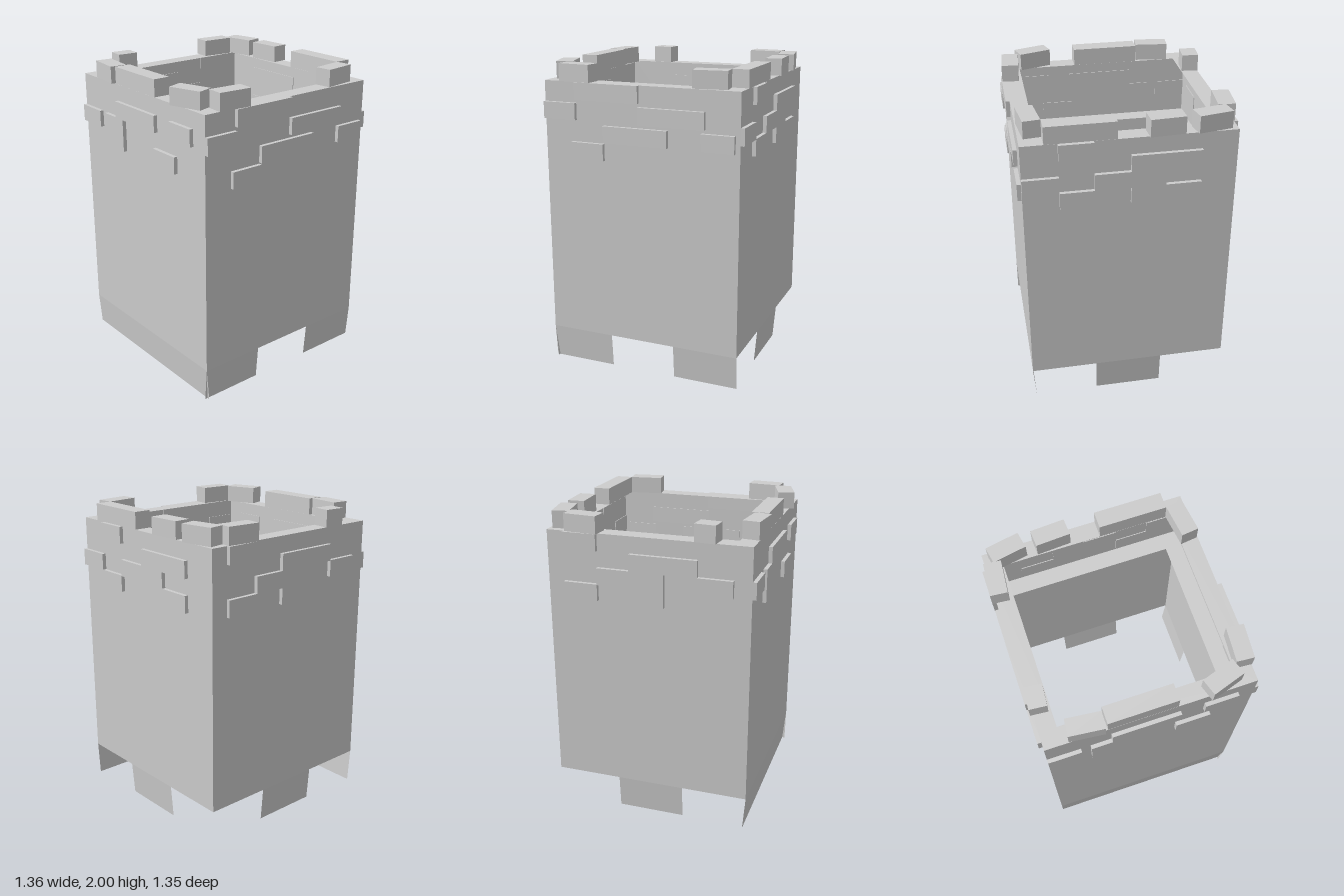
import * as THREE from 'three';

const R = 0.65;        // half width of the tower
const TOP = 1.89;      // wall top
const FOOT = 0.22;     // wall bottom, above the ragged foot
const RIM = 0.54;      // inner half width of the rims
const BRICK_H = 0.108;

export function createModel() {
  const stone = new THREE.MeshStandardMaterial({ color: 0xcccccc, side: THREE.DoubleSide });
  stone.name = 'grey stone';
  const tower = new THREE.Group();
  tower.name = 'tower';

  const add = (parent, name, geometry, x = 0, y = 0, z = 0) => {
    const mesh = new THREE.Mesh(geometry, stone);
    mesh.name = name;
    mesh.position.set(x, y, z);
    parent.add(mesh);
    return mesh;
  };

  // Each side is laid out facing +z, then turned about y.
  // bricks: [start, end, top]; foot: [start, end] of the tabs below the wall
  const sides = [
    { name: 'front', turn: 0, foot: [[-R, -0.22], [0.22, R]],
      bricks: [[-0.43, 0, 1.89], [-0.65, -0.43, 1.76], [0, 0.43, 1.76],
        [-0.24, 0.19, 1.63], [0.41, 0.62, 1.63], [-0.46, -0.24, 1.515]] },
    { name: 'left', turn: Math.PI / 2, foot: [[-0.22, 0.22]],
      bricks: [[-0.43, -0.22, 1.89], [0, 0.43, 1.785], [-0.65, -0.43, 1.68],
        [-0.22, 0.21, 1.68], [-0.43, -0.22, 1.575], [0, 0.43, 1.575]] },
    { name: 'back', turn: Math.PI, foot: [[-0.22, 0.22]],
      bricks: [[-0.54, -0.32, 1.89], [-0.11, 0.32, 1.785], [-0.32, 0.11, 1.68],
        [0.32, 0.54, 1.68], [-0.54, -0.32, 1.575], [-0.11, 0.11, 1.575]] },
    { name: 'right', turn: -Math.PI / 2, foot: [[-R, R]],
      bricks: [[-0.25, 0.18, 1.785], [0.33, 0.54, 1.785], [-0.65, -0.44, 1.68],
        [-0.38, -0.17, 1.68], [-0.38, -0.17, 1.575], [0.16, 0.38, 1.575]] },
  ];

  for (const { name, turn, bricks, foot } of sides) {
    const side = new THREE.Group();
    side.name = name + 'Side';
    side.rotation.y = turn;
    tower.add(side);

    add(side, 'wall', new THREE.PlaneGeometry(2 * R, TOP - FOOT), 0, (TOP + FOOT) / 2, R);

    // Raised bricks
    for (const [a, b, top] of bricks) {
      add(side, 'raisedBrick', new THREE.BoxGeometry(b - a, BRICK_H, 0.03),
        (a + b) / 2, top - BRICK_H / 2, 0.66);
    }

    // Foot tabs, leaning slightly inward at the bottom
    for (const [a, b] of foot) {
      const g = new THREE.PlaneGeometry(b - a, FOOT);
      const p = g.attributes.position;
      for (let i = 0; i < p.count; i++) if (p.getY(i) < 0) p.setZ(i, -0.018);
      g.computeVertexNormals();
      add(side, 'footTab', g, (a + b) / 2, FOOT / 2, R);
    }
  }

  // Flat rims: wall top and the ledge inside
  const square = (h) => [[-h, -h], [h, -h], [h, h], [-h, h]].map(([x, y]) => new THREE.Vector2(x, y));
  const ring = new THREE.Shape(square(R));
  ring.holes.push(new THREE.Path(square(RIM).reverse()));
  const rimGeometry = new THREE.ShapeGeometry(ring).rotateX(-Math.PI / 2);
  add(tower, 'topRim', rimGeometry, 0, TOP, 0);
  add(tower, 'innerLedge', rimGeometry, 0, 1.45, 0);

  // Loose blocks on the rim: [x, z, length, direction x, direction z]
  const blocks = [
    [-0.365, -0.604, 0.135, 1, 0.09],
    [0.418, -0.612, 0.216, 1, 0.09],
    [0.594, -0.498, 0.216, 0.19, 1],
    [0.605, -0.215, 0.216, 0.06, 1],
    [0.595, 0.295, 0.43, 0, 1],
    [0.442, 0.577, 0.216, 1, -0.12],
    [-0.433, 0.609, 0.216, 1, 0.08],
    [-0.596, 0.443, 0.216, 0.32, 1],
    [-0.595, -0.055, 0.43, 0, 1],
    [-0.605, -0.39, 0.216, -0.11, 1],
  ];
  for (const [x, z, length, dx, dz] of blocks) {
    const block = add(tower, 'rimBlock', new THREE.BoxGeometry(length, 2 - TOP, 0.108),
      x, (2 + TOP) / 2, z);
    block.rotation.y = Math.atan2(-dz, dx);
  }
  return tower;
}
